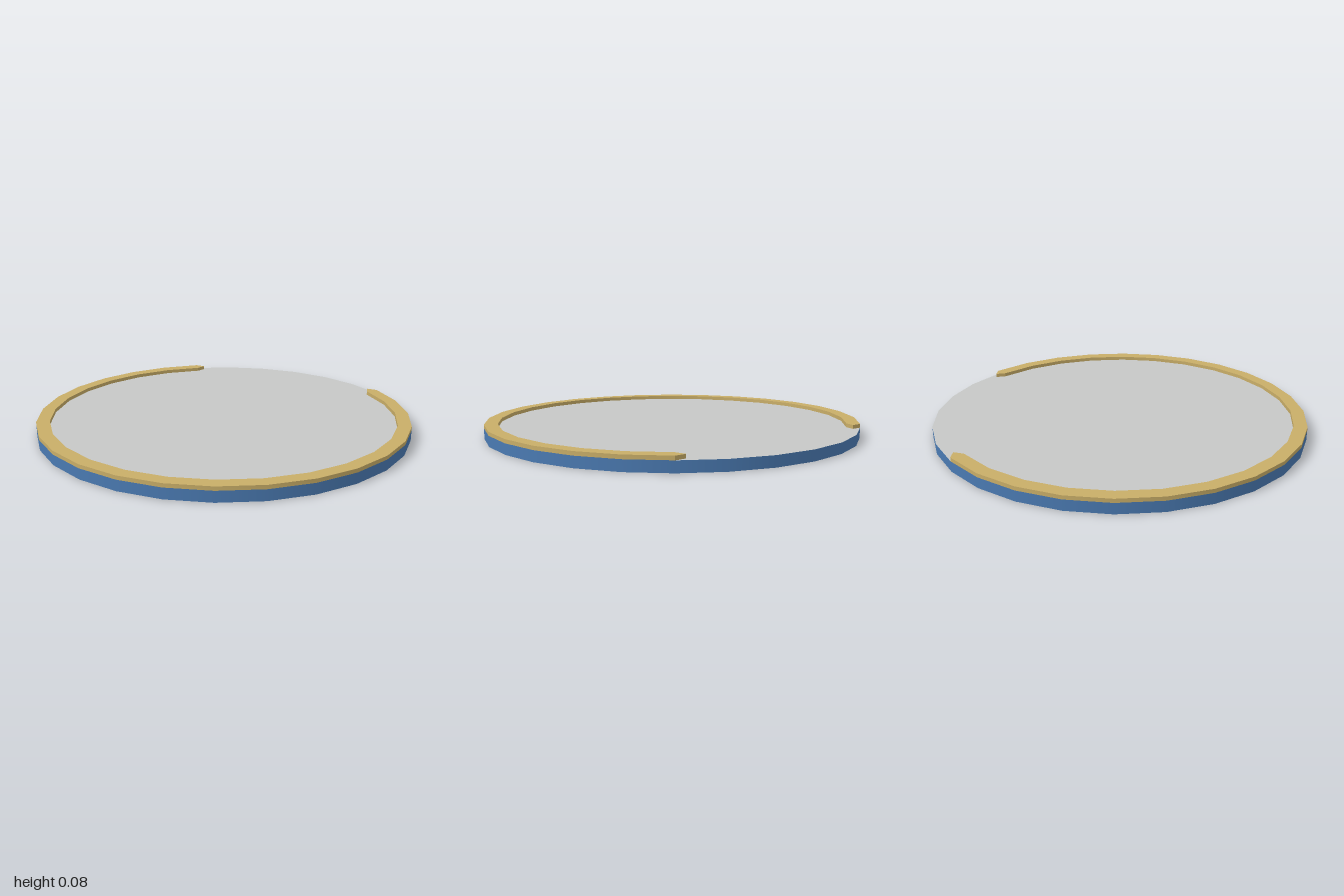
import * as THREE from 'three';
import { toCreasedNormals } from 'three/addons/utils/BufferGeometryUtils.js';

const SIDES = 28, DISC_TOP = 0.055, RING_TOP = 0.075;

const material = (name, color) => {
  const m = new THREE.MeshStandardMaterial({ color });
  m.name = name;
  return m;
};

// Point on the many-sided rim; step 0 is the front (+z)
const rimPoint = (step, radius = 1) => {
  const t = (step / SIDES) * Math.PI * 2;
  return new THREE.Vector2(Math.sin(t) * radius, Math.cos(t) * radius);
};

// Keep the side of a polygon where sign * (p[axis] - limit) >= 0
function clip(points, axis, limit, sign) {
  const out = [];
  points.forEach((p, i) => {
    const q = points[(i + 1) % points.length];
    const a = sign * (p[axis] - limit), b = sign * (q[axis] - limit);
    if (a >= 0) out.push(p);
    if (a * b < 0) out.push(p.clone().lerp(q, a / (a - b)));
  });
  return out;
}

export function createModel() {
  const group = new THREE.Group();
  const grey = material('light grey', 0xc6c8c6);
  const gold = material('gold', 0xc9ae68);
  const blue = material('blue', 0x4a7ab2);
  const navy = material('navy', 0x2f3b88);
  const maroon = material('maroon', 0x9e3f72);
  const teal = material('teal', 0x10979f);
  const red = material('brick red', 0xbf6453);
  const mauve = material('mauve grey', 0xbaa8b3);
  const violet = material('dusky violet', 0x9082a2);

  const add = (name, geometry, mat) => {
    const mesh = new THREE.Mesh(geometry, mat);
    mesh.name = name;
    group.add(mesh);
  };

  // Disc: smooth blue edge and a flat top
  const edge = new THREE.CylinderGeometry(1, 1, DISC_TOP, SIDES, 1, true);
  add('discEdge', edge.translate(0, DISC_TOP / 2, 0), blue);
  const rim = Array.from({ length: SIDES }, (_, i) => rimPoint(i));
  const flat = (points) => new THREE.ShapeGeometry(new THREE.Shape(points));
  add('discTop', flat(rim).rotateX(-Math.PI / 2).translate(0, DISC_TOP, 0), grey);

  // Underside, with painted patches just below it
  add('underside', flat(rim).rotateX(Math.PI / 2).translate(0, 0.002, 0), grey);
  const patch = (name, points, mat) => add(name, flat(points).rotateX(Math.PI / 2), mat);
  const rimCut = (x0, x1, z0, z1) =>
    clip(clip(clip(clip(rim, 'x', x0, 1), 'x', x1, -1), 'y', z0, 1), 'y', z1, -1);

  patch('undersideBandBack', rimCut(-2, -0.4, -2, -0.53), maroon);
  patch('undersideBandMidBack', rimCut(-2, -0.4, -0.53, -0.095), navy);
  patch('undersideBandMidFront', rimCut(-2, -0.4, -0.095, 0.355), blue);
  patch('undersideBandFront', rimCut(-2, -0.4, 0.355, 2), teal);
  patch('undersideSidePatchFront', rimCut(0.855, 2, -0.125, 0.14), red);
  patch('undersideSidePatchBack', rimCut(0.855, 2, -0.435, -0.125), violet);
  patch('undersideHook', [
    [0.855, -0.435], [-0.05, -0.435], [-0.13, -0.25], [-0.04, -0.173],
    [0.5, -0.11], [0.52, 0.13], [0.855, 0.135],
  ].map(([x, z]) => new THREE.Vector2(x, z)), mauve);

  // Raised open ring, ends cut straight across at the back
  const END = 11, INNER = 0.93;
  const outline = [];
  for (let i = -END; i <= END; i++) outline.push(rimPoint(i));
  const tipZ = rimPoint(END).y;
  outline.push(new THREE.Vector2(0.565, tipZ));
  for (let i = END; i >= -END; i--) outline.push(rimPoint(i, INNER));
  outline.push(new THREE.Vector2(-0.565, tipZ));
  const ring = new THREE.ExtrudeGeometry(new THREE.Shape(outline), {
    depth: RING_TOP - DISC_TOP, bevelEnabled: false,
  });
  ring.rotateX(Math.PI / 2).translate(0, RING_TOP, 0);
  add('raisedRing', toCreasedNormals(ring, 0.4), gold);

  return group;
}
